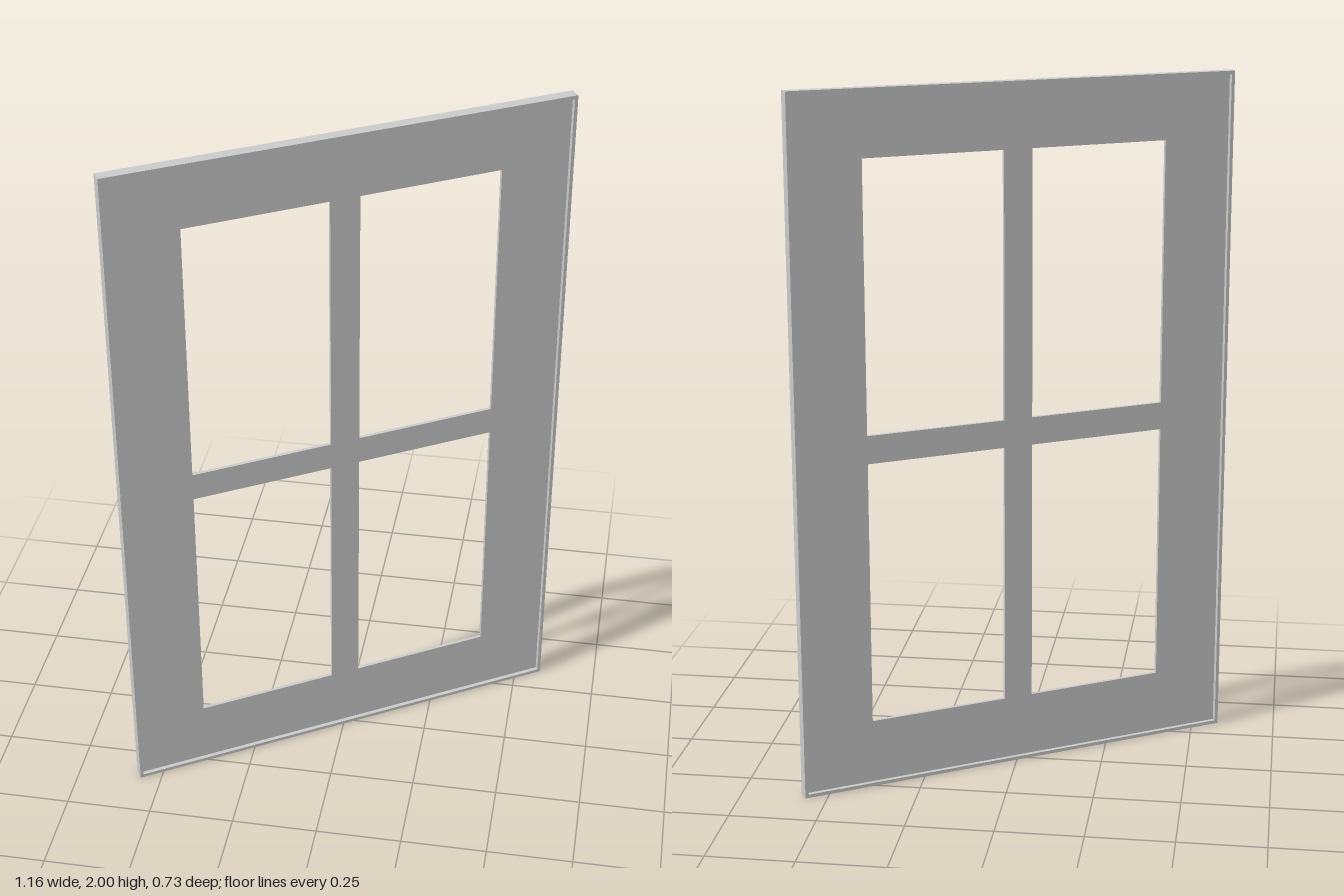
import * as THREE from 'three';

const W = 1.338, H = 2;            // overall sash size
const RIM = 0.01, RIM_DEPTH = 0.034; // thin outer edging
const PANEL_DEPTH = 0.01;          // recessed panel inside the edging

function rect(Type, x0, y0, x1, y1) {
  const p = new Type();
  p.moveTo(x0, y0);
  p.lineTo(x1, y0);
  p.lineTo(x1, y1);
  p.lineTo(x0, y1);
  p.closePath();
  return p;
}

// Rectangular slab with rectangular openings, centred in depth
function slab(name, outer, openings, depth, material) {
  const shape = rect(THREE.Shape, ...outer);
  for (const o of openings) shape.holes.push(rect(THREE.Path, ...o));
  const geometry = new THREE.ExtrudeGeometry(shape, { depth, bevelEnabled: false });
  geometry.translate(0, 0, -depth / 2);
  const mesh = new THREE.Mesh(geometry, material);
  mesh.name = name;
  return mesh;
}

export function createModel() {
  const material = new THREE.MeshStandardMaterial({ color: 0xcccccc });
  const group = new THREE.Group();
  group.name = 'window';

  const sash = new THREE.Group();
  sash.name = 'sash';
  sash.rotation.y = THREE.MathUtils.degToRad(31.5);
  group.add(sash);

  // Edging around the perimeter
  const inner = [-W / 2 + RIM, RIM, W / 2 - RIM, H - RIM];
  sash.add(slab('edging', [-W / 2, 0, W / 2, H], [inner], RIM_DEPTH, material));

  // Stiles, rails and crossing glazing bars around four open lights
  const lights = [];
  for (const [x0, x1] of [[-0.457, -0.043], [0.043, 0.457]])
    for (const [y0, y1] of [[0.196, 0.963], [1.044, 1.812]])
      lights.push([x0, y0, x1, y1]);
  sash.add(slab('panelWithGlazingBars', inner, lights, PANEL_DEPTH, material));

  return group;
}
